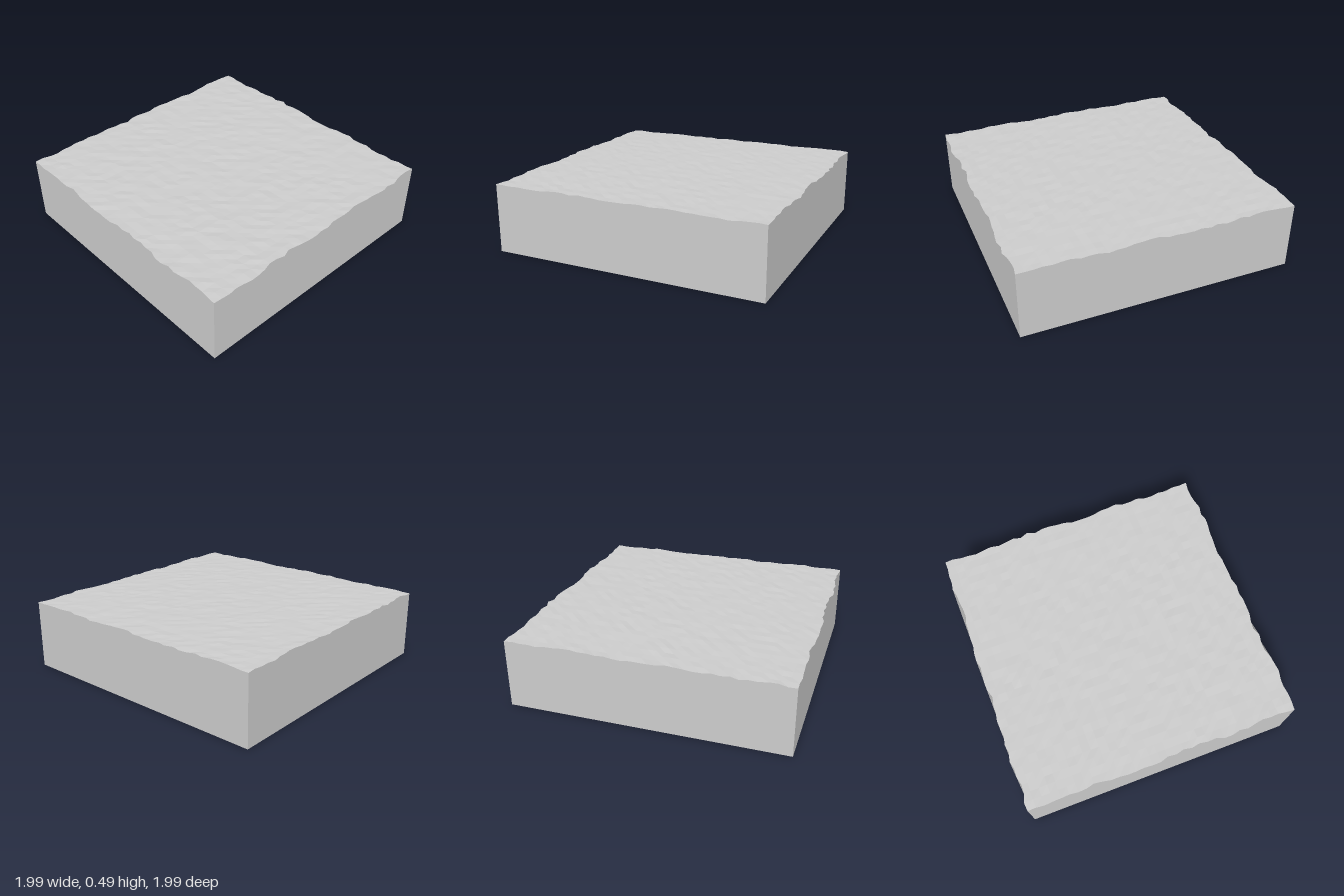
import * as THREE from 'three';

const N = 33;          // cells along each edge of the rough top
const HALF = 0.98;     // half width of the base
const TOP = 0.492;     // mean height of the top

// Repeatable noise in -1..1 for a grid point
function noise(i, j) {
  const s = Math.sin(i * 127.1 + j * 311.7 + 4.2) * 43758.5453;
  return (s - Math.floor(s)) * 2 - 1;
}

// Slow drift plus fine chipping for the ragged rim
function ragged(k, side) {
  return 0.007 * Math.sin(k * 0.55 + side * 1.7) + 0.012 * noise(k, side + 50);
}

// Grid point of the top; only the rim wanders sideways
function topPoint(i, j) {
  let x = (i / N * 2 - 1) * HALF;
  let z = (j / N * 2 - 1) * HALF;
  const cornerX = i === 0 || i === N, cornerZ = j === 0 || j === N;
  if (cornerX && !cornerZ) x += ragged(j, i ? 1 : 2);
  if (cornerZ && !cornerX) z += ragged(i, j ? 3 : 4);
  return new THREE.Vector3(x, TOP + 0.003 * noise(i, j), z);
}

// Geometry from a flat list of triangle corners, with an optional fixed normal
function triangles(points, normal) {
  const g = new THREE.BufferGeometry().setFromPoints(points);
  g.computeVertexNormals();
  if (normal) {
    const n = g.attributes.normal;
    for (let i = 0; i < n.count; i++) n.setXYZ(i, normal.x, normal.y, normal.z);
  }
  return g;
}

export function createModel() {
  const group = new THREE.Group();
  const material = new THREE.MeshStandardMaterial({ color: 0xcccccc });
  const flat = new THREE.MeshStandardMaterial({ color: 0xcccccc, flatShading: true });
  const add = (name, geometry, mat = material) => {
    const mesh = new THREE.Mesh(geometry, mat);
    mesh.name = name;
    group.add(mesh);
  };

  // Rough faceted top
  const top = [];
  for (let i = 0; i < N; i++) for (let j = 0; j < N; j++) {
    const a = topPoint(i, j), b = topPoint(i, j + 1);
    const c = topPoint(i + 1, j + 1), d = topPoint(i + 1, j);
    top.push(a, b, c, a, c, d);
  }
  add('roughTop', triangles(top), flat);

  // Four walls, each fanned from its right-hand bottom corner to the rim
  const walls = [
    ['frontWall', k => [k, N], [0, 0, 1]],
    ['leftWall', k => [N, N - k], [1, 0, 0]],
    ['backWall', k => [N - k, 0], [0, 0, -1]],
    ['rightWall', k => [0, k], [-1, 0, 0]],
  ];
  const base = ([i, j]) => new THREE.Vector3((i / N * 2 - 1) * HALF, 0, (j / N * 2 - 1) * HALF);
  for (const [name, rim, n] of walls) {
    const corner = base(rim(N));
    const pts = [base(rim(0)), corner, topPoint(...rim(0))];
    for (let k = 0; k < N; k++) pts.push(topPoint(...rim(k)), corner, topPoint(...rim(k + 1)));
    add(name, triangles(pts, new THREE.Vector3(...n)));
  }

  // Flat underside
  const underside = new THREE.PlaneGeometry(HALF * 2, HALF * 2).rotateX(Math.PI / 2);
  add('underside', underside);
  return group;
}
